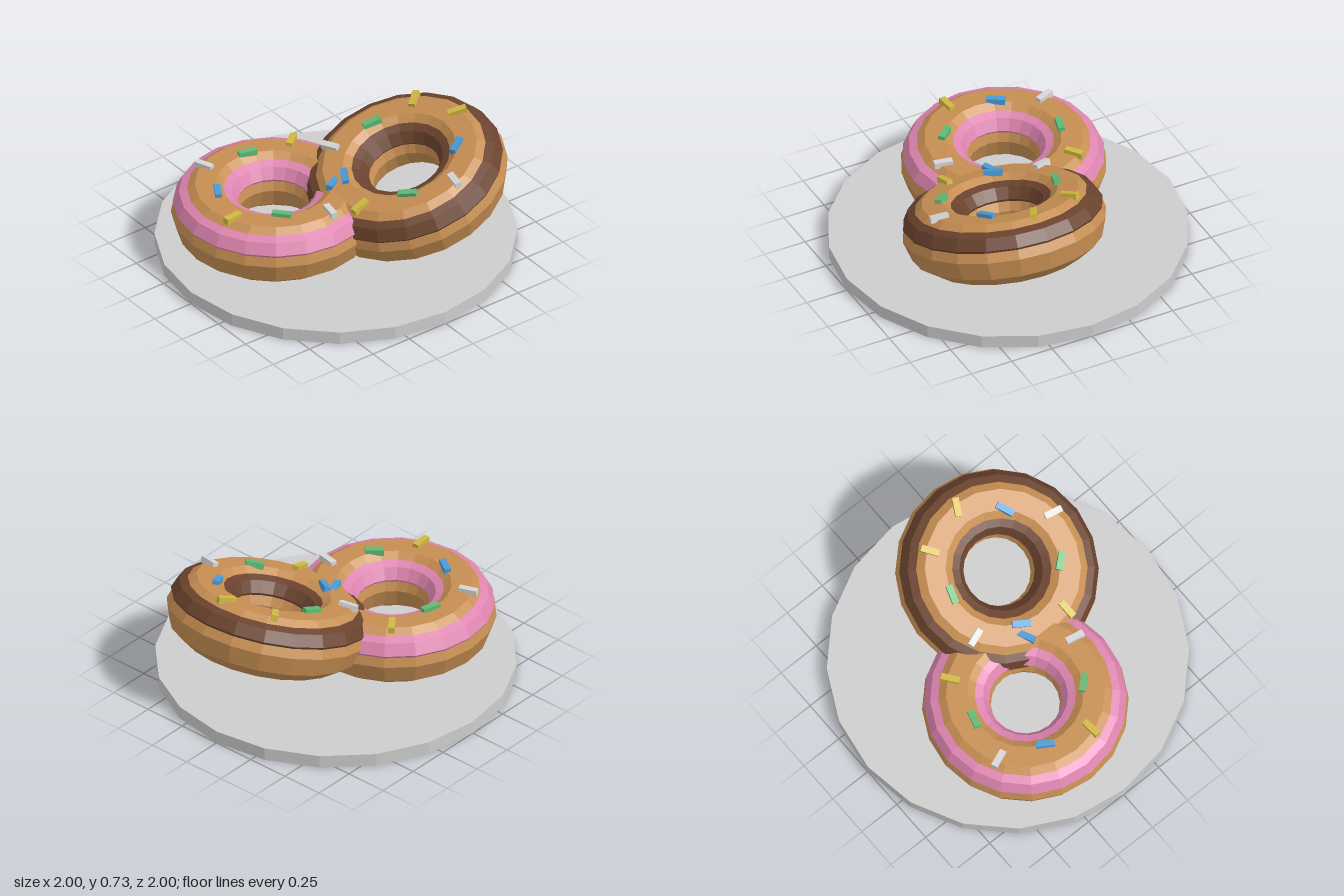
import * as THREE from 'three';

const mat = (name, color, flat = true) => {
  const m = new THREE.MeshStandardMaterial({ color, flatShading: flat });
  m.name = name;
  return m;
};

export function createModel() {
  const dough = mat('dough', 0xc68e52);
  const pink = mat('pinkIcing', 0xde85b0);
  const chocolate = mat('chocolateIcing', 0x6b432e);
  const china = mat('plateGrey', 0xcccccc);
  const sprinkleMats = [
    mat('yellowSprinkle', 0xd0b842),
    mat('blueSprinkle', 0x4a9ad6),
    mat('whiteSprinkle', 0xd6d6d6),
    mat('greenSprinkle', 0x5fb974),
  ];

  const add = (parent, name, geometry, material, x = 0, y = 0, z = 0) => {
    const mesh = new THREE.Mesh(geometry, material);
    mesh.name = name;
    mesh.position.set(x, y, z);
    parent.add(mesh);
    return mesh;
  };

  // Shared low-poly rings: the bun and a flattened, slightly raised icing ring
  const bunGeo = new THREE.TorusGeometry(0.38, 0.19, 10, 20).rotateX(-Math.PI / 2);
  const icingGeo = new THREE.TorusGeometry(0.38, 0.18, 10, 20).rotateX(-Math.PI / 2).scale(1, 0.6, 1);
  const sprinkleGeo = new THREE.BoxGeometry(0.105, 0.037, 0.037);

  const makeDonut = (name, icing) => {
    const donut = new THREE.Group();
    donut.name = name;
    add(donut, 'bun', bunGeo, dough);
    add(donut, 'icing', icingGeo, icing, 0, 0.067, 0);
    // Nine sprinkles, alternating between an outer and an inner circle
    for (let i = 0; i < 9; i++) {
      const a = THREE.MathUtils.degToRad(i * 40);
      const r = i % 2 ? 0.325 : 0.42;
      const s = add(donut, 'sprinkle', sprinkleGeo, sprinkleMats[i % 4],
        r * Math.cos(a), 0.185, r * Math.sin(a));
      s.rotation.y = THREE.MathUtils.degToRad(53 * i - 27);
    }
    return donut;
  };

  const model = new THREE.Group();
  model.name = 'donutsOnPlate';
  add(model, 'plate', new THREE.CylinderGeometry(1, 1, 0.075, 20), china, 0, 0.0375, 0);

  // Flat donut
  const flat = makeDonut('pinkDonut', pink);
  flat.position.set(-0.32, 0.27, -0.14);

  // Donut leaning on the first
  const leaning = makeDonut('chocolateDonut', chocolate);
  leaning.position.set(0.34, 0.4, 0.2);
  leaning.rotation.z = 0.3;

  model.add(flat, leaning);
  return model;
}
